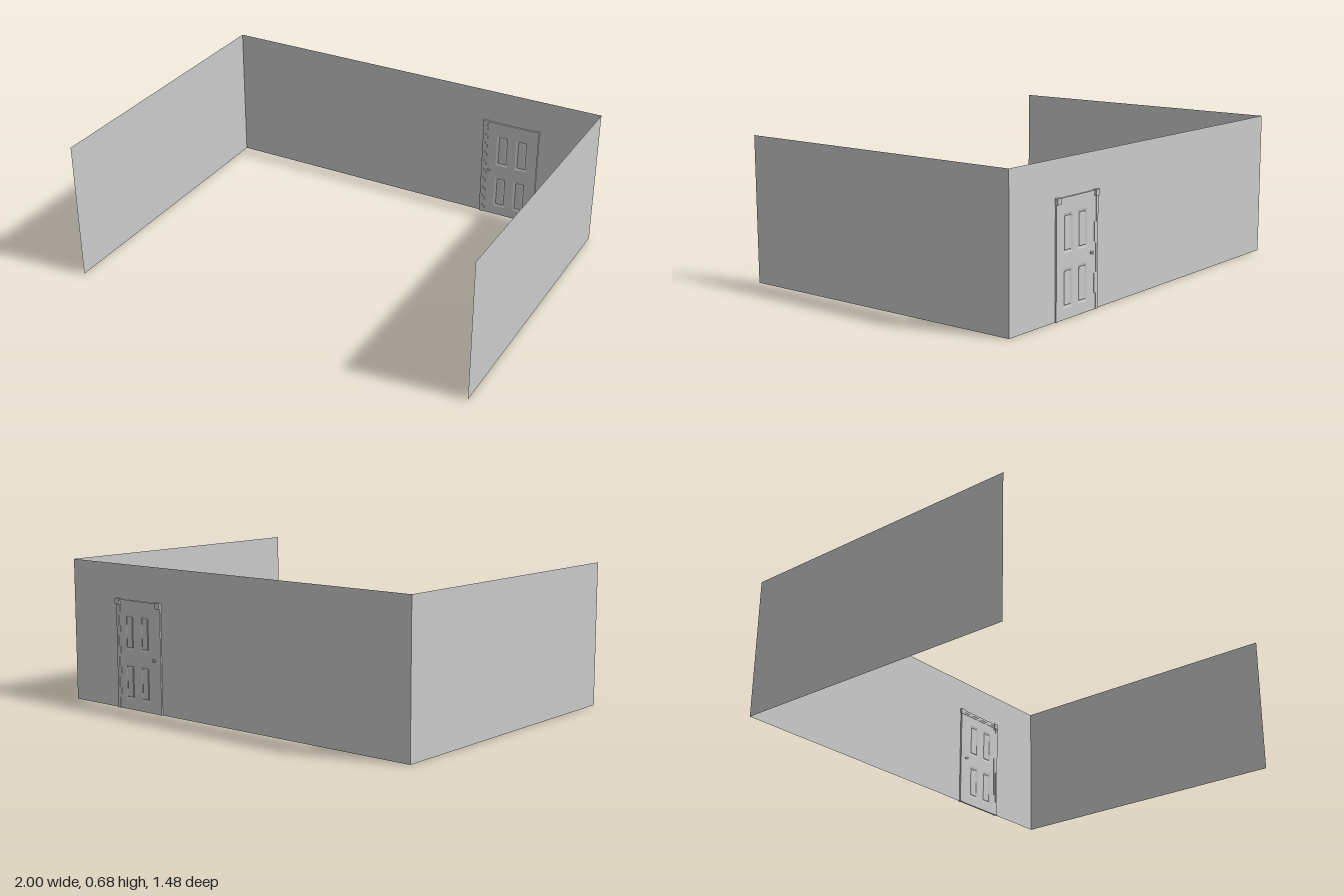
import * as THREE from 'three';

const material = new THREE.MeshStandardMaterial({ color: 0xcccccc, flatShading: true, side: THREE.DoubleSide });
const H = 0.68, BACK = -0.722, FRONT = 0.738;
const DOOR_X = 0.554;

function add(parent, name, geometry, x = 0, y = 0, z = 0) {
  const mesh = new THREE.Mesh(geometry, material);
  mesh.name = name;
  mesh.position.set(x, y, z);
  parent.add(mesh);
  return mesh;
}

// Box given by its limits
function slab(parent, name, x0, x1, y0, y1, z0, z1) {
  return add(parent, name, new THREE.BoxGeometry(x1 - x0, y1 - y0, z1 - z0),
    (x0 + x1) / 2, (y0 + y1) / 2, (z0 + z1) / 2);
}

function rectangle(Type, x0, x1, y0, y1) {
  return new Type([[x0, y0], [x1, y0], [x1, y1], [x0, y1]].map(p => new THREE.Vector2(...p)));
}

// Moulded panel: rectangular rings of [inset, depth], closed by a flat field
function panelGeometry(w, h, rings) {
  const points = [], index = [];
  for (const [inset, z] of rings) {
    const a = w / 2 - inset, b = h / 2 - inset;
    points.push(-a, -b, z, a, -b, z, a, b, z, -a, b, z);
  }
  for (let r = 0; r < rings.length - 1; r++) {
    for (let i = 0; i < 4; i++) {
      const a = r * 4 + i, b = r * 4 + (i + 1) % 4;
      index.push(a, b, b + 4, a, b + 4, a + 4);
    }
  }
  const c = (rings.length - 1) * 4;
  index.push(c, c + 1, c + 2, c, c + 2, c + 3);
  const geometry = new THREE.BufferGeometry();
  geometry.setAttribute('position', new THREE.Float32BufferAttribute(points, 3));
  geometry.setIndex(index);
  const flat = geometry.toNonIndexed();
  flat.computeVertexNormals();
  return flat;
}

function createWalls() {
  const walls = new THREE.Group();
  walls.name = 'walls';
  // Back wall outline notched around the doorway
  const x0 = DOOR_X - 0.135, x1 = DOOR_X + 0.135;
  const outline = [[-1, 0], [x0, 0], [x0, 0.505], [x1, 0.505], [x1, 0], [1, 0], [1, H], [-1, H]];
  const shape = new THREE.Shape(outline.map(p => new THREE.Vector2(...p)));
  add(walls, 'backWall', new THREE.ShapeGeometry(shape), 0, 0, BACK);
  for (const side of [-1, 1]) {
    const wall = add(walls, side > 0 ? 'leftWall' : 'rightWall',
      new THREE.PlaneGeometry(FRONT - BACK, H), side, H / 2, (FRONT + BACK) / 2);
    wall.rotation.y = -side * Math.PI / 2;
  }
  return walls;
}

function createFrame() {
  const frame = new THREE.Group();
  frame.name = 'doorFrame';
  for (const side of [-1, 1]) {
    const post = (name, a, b, y0, y1, z0, z1) => {
      const u = DOOR_X + side * a, v = DOOR_X + side * b;
      slab(frame, name, Math.min(u, v), Math.max(u, v), y0, y1, z0, z1);
    };
    post('jamb', 0.132, 0.146, 0, 0.491, -0.729, -0.714);
    post('jambStop', 0.121, 0.132, 0, 0.491, -0.7275, -0.7155);
    post('cornerBlock', 0.121, 0.148, 0.491, 0.518, -0.736, -0.712);
  }
  slab(frame, 'head', DOOR_X - 0.121, DOOR_X + 0.121, 0.503, 0.515, -0.729, -0.714);
  slab(frame, 'headStop', DOOR_X - 0.121, DOOR_X + 0.121, 0.493, 0.503, -0.7275, -0.7155);
  return frame;
}

function createDoor() {
  const door = new THREE.Group();
  door.name = 'door';
  const half = 0.0045, w = 0.066, h = 0.168;
  const leaf = rectangle(THREE.Shape, DOOR_X - 0.121, DOOR_X + 0.121, 0, 0.493);
  // Sloped reveal, groove and raised field
  const rings = [[0, half], [0.009, 0.002], [0.012, 0.0005], [0.016, 0.003]];
  for (const x of [0.515, 0.617]) {
    for (const y of [0.131, 0.364]) {
      leaf.holes.push(rectangle(THREE.Path, x - w / 2, x + w / 2, y - h / 2, y + h / 2));
      for (const turn of [0, Math.PI]) {
        add(door, 'panel', panelGeometry(w, h, rings), x, y, BACK).rotation.y = turn;
      }
    }
  }
  add(door, 'leaf', new THREE.ExtrudeGeometry(leaf, { depth: half * 2, bevelEnabled: false }), 0, 0, BACK - half);

  // Turned knob on each face
  const profile = [[0.009, 0], [0.009, 0.0015], [0.004, 0.0025], [0.004, 0.005], [0.008, 0.007], [0.008, 0.009], [0.004, 0.0105], [0, 0.0105]]
    .map(p => new THREE.Vector2(...p));
  for (const side of [-1, 1]) {
    const knob = add(door, 'knob', new THREE.LatheGeometry(profile, 12), 0.452, 0.25, BACK + side * half);
    knob.rotation.x = side * Math.PI / 2;
  }
  return door;
}

export function createModel() {
  const model = new THREE.Group();
  model.name = 'roomWalls';
  model.add(createWalls(), createFrame(), createDoor());
  return model;
}
